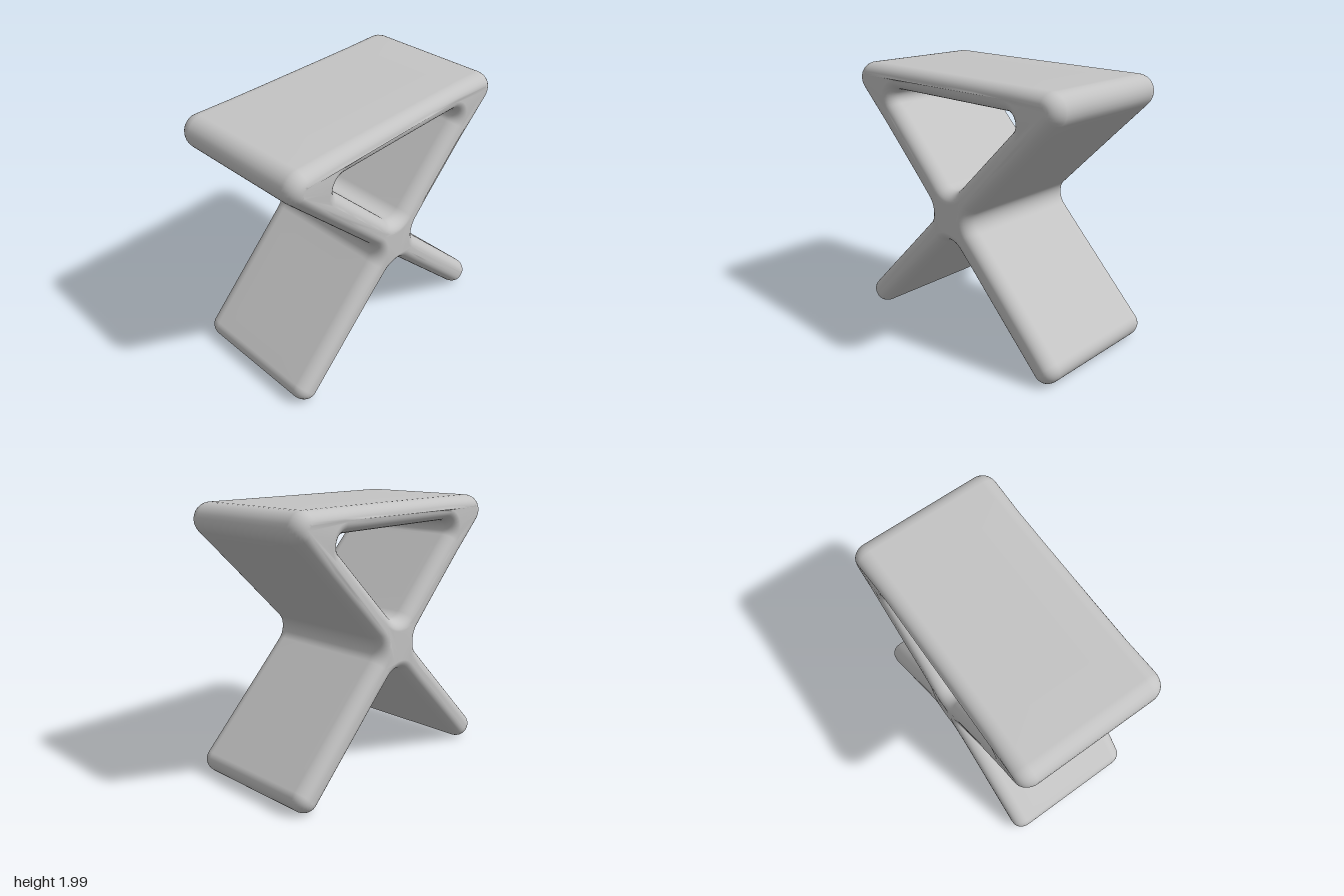
import * as THREE from 'three';
import { mergeVertices } from 'three/addons/utils/BufferGeometryUtils.js';

const V = (x, y) => new THREE.Vector2(x, y);

// Closed outline from corners [x, y, radius], each rounded by an arc; straights are subdivided.
function roundedOutline(corners, arcSteps = 10, straightSteps = 6) {
  const n = corners.length;
  const arcs = corners.map(([x, y, r], i) => {
    const p = V(x, y);
    const a = V(...corners[(i + n - 1) % n]).sub(p).normalize();
    const b = V(...corners[(i + 1) % n]).sub(p).normalize();
    const half = Math.acos(a.dot(b)) / 2;
    const centre = p.clone().addScaledVector(a.clone().add(b).normalize(), r / Math.sin(half));
    const t = r / Math.tan(half);
    const start = p.clone().addScaledVector(a, t).sub(centre);
    const end = p.clone().addScaledVector(b, t).sub(centre);
    const sweep = Math.atan2(start.cross(end), start.dot(end));
    return Array.from({ length: arcSteps + 1 }, (_, k) =>
      start.clone().rotateAround(V(0, 0), sweep * k / arcSteps).add(centre));
  });
  return arcs.flatMap((arc, i) => {
    const from = arc[arcSteps], to = arcs[(i + 1) % n][0];
    const straight = [];
    for (let k = 1; k < straightSteps; k++) straight.push(from.clone().lerp(to, k / straightSteps));
    return [...arc, ...straight];
  });
}

export function createModel() {
  const group = new THREE.Group();
  group.name = 'crossLeggedStool';
  const grey = new THREE.MeshStandardMaterial({ color: 0xc4c4c4 });
  grey.name = 'light grey';

  // Crossing height, leg half width along an axis, and foot tip
  const cy = 0.99, h = 0.14, fx = 0.952, fy = cy - fx;
  const d = h / 2, footR = 0.094, crotchR = 0.12;

  // Outside of the seat and crossed legs, counter-clockwise
  const outline = roundedOutline([
    [-fx - d, fy + d, footR], [-fx + d, fy - d, footR],
    [0, cy - h, crotchR],
    [fx - d, fy - d, footR], [fx + d, fy + d, footR],
    [h, cy, crotchR],
    [2 - cy + h, 2, 0.12], [-(2 - cy + h), 2, 0.12],
    [-h, cy, crotchR],
  ]);

  // Triangular opening under the seat
  const under = 1.83, hx = under - cy - h;
  const opening = roundedOutline([
    [0, cy + h, crotchR], [-hx, under, 0.065], [hx, under, 0.065],
  ]);

  const shape = new THREE.Shape(outline);
  shape.holes.push(new THREE.Path(opening));

  // Wide panels with fully rounded edges
  const bevel = 0.08, round = 0.1, width = 1.08;
  let geometry = new THREE.ExtrudeGeometry(shape, {
    depth: width - 2 * round, steps: 4,
    bevelEnabled: true, bevelSize: bevel, bevelOffset: -bevel,
    bevelThickness: round, bevelSegments: 8,
  });
  geometry.translate(0, 0, round - width / 2);

  // The edges swell slightly where panels meet
  const pos = geometry.attributes.position;
  const joints = [[0, cy], [-0.8, 1.88], [0.8, 1.88]];
  for (let i = 0; i < pos.count; i++) {
    const x = pos.getX(i), y = pos.getY(i);
    const swell = joints.reduce((s, [jx, jy]) =>
      s + Math.exp(-((x - jx) ** 2 + (y - jy) ** 2) / 0.025), 0);
    pos.setZ(i, pos.getZ(i) * (1 + 0.03 * swell));
  }

  // Smooth normals over the whole surface
  geometry.deleteAttribute('normal');
  geometry.deleteAttribute('uv');
  geometry.clearGroups();
  geometry = mergeVertices(geometry, 1e-4);
  geometry.computeVertexNormals();

  const frame = new THREE.Mesh(geometry, grey);
  frame.name = 'seatAndCrossedLegs';
  group.add(frame);
  return group;
}
